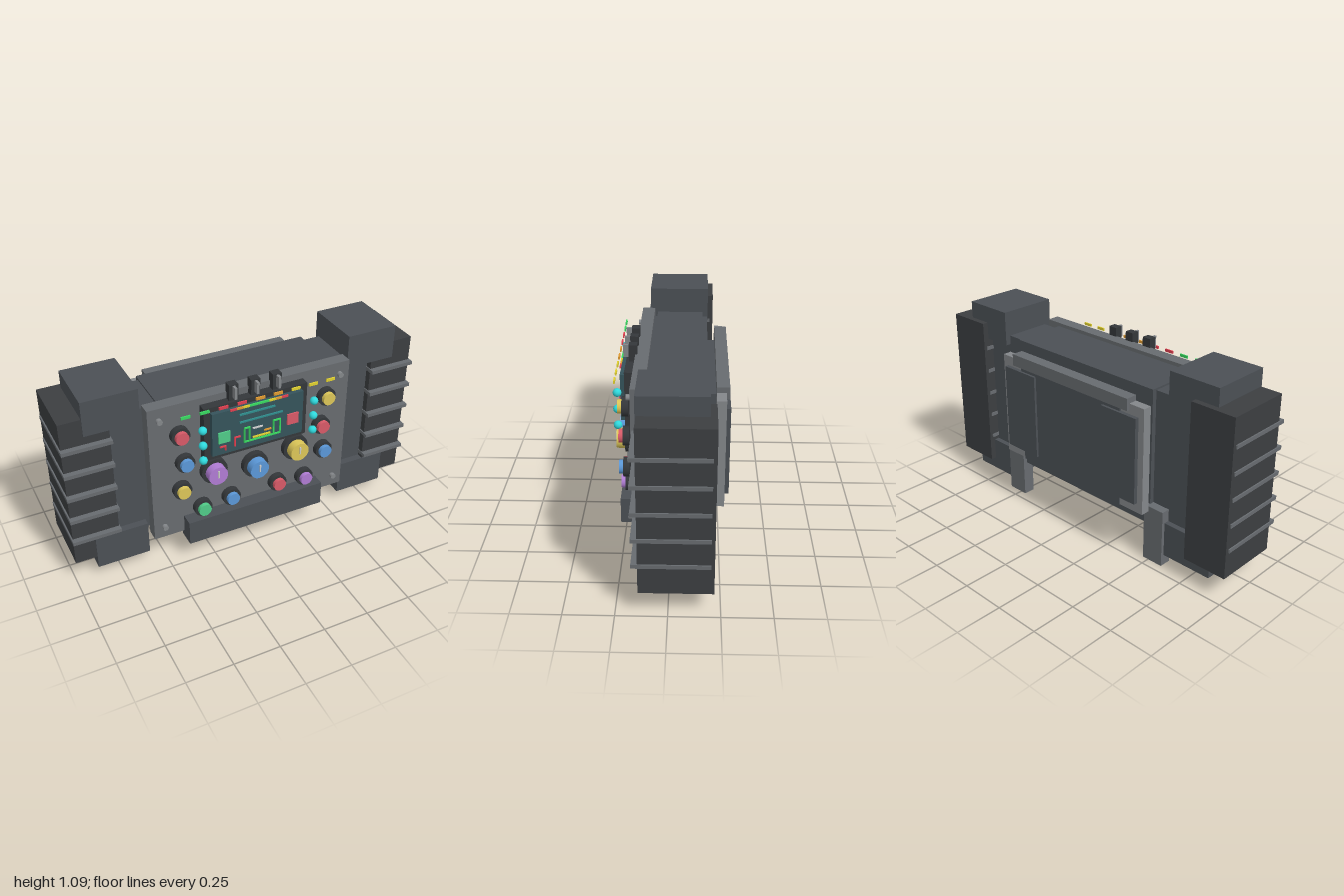
import * as THREE from 'three';

const C = {
  body: 0x4b5055, dark: 0x3c3e41, panel: 0x676b6f, light: 0x84878a, black: 0x34373a,
  screen: 0x35535b, teal: 0x2f8c8c, cyan: 0x2fd8dc, red: 0xd85a68, green: 0x50cc88,
  blue: 0x5b98d8, yellow: 0xdcc658, purple: 0xb07cd4, orange: 0xe09a30, brightRed: 0xe04050,
  brightGreen: 0x38d860, brightYellow: 0xe0d030, white: 0xd0d4d4,
};

export function createModel() {
  const root = new THREE.Group();
  const mats = {};
  const mat = (c) => (mats[c] ??= new THREE.MeshStandardMaterial({ color: C[c] }));

  const add = (name, geometry, color, parent = root) => {
    const mesh = new THREE.Mesh(geometry, mat(color));
    mesh.name = name;
    parent.add(mesh);
    return mesh;
  };
  // Box given by its limits along x, y and z
  const box = (name, color, x0, x1, y0, y1, z0, z1, parent = root) => {
    const m = add(name, new THREE.BoxGeometry(x1 - x0, y1 - y0, z1 - z0), color, parent);
    m.position.set((x0 + x1) / 2, (y0 + y1) / 2, (z0 + z1) / 2);
    return m;
  };
  const mirrored = (name, color, x0, x1, ...rest) => {
    box(name + 'Left', color, x0, x1, ...rest);
    box(name + 'Right', color, -x1, -x0, ...rest);
  };
  // Disc whose axis points along z
  const disc = (name, color, x, y, r, z0, z1, parent = root, sides = 32) => {
    const g = new THREE.CylinderGeometry(r, r, z1 - z0, sides).rotateX(Math.PI / 2);
    const m = add(name, g, color, parent);
    m.position.set(x, y, (z0 + z1) / 2);
  };
  const group = (name) => {
    const g = new THREE.Group();
    g.name = name;
    root.add(g);
    return g;
  };

  // Housing and front plate
  box('housing', 'body', -0.485, 0.485, 0.2, 0.955, -0.18, 0.13);
  box('frontPanel', 'panel', -0.57, 0.57, 0.17, 0.975, 0.12, 0.19);
  box('frontBar', 'body', -0.4, 0.4, 0.13, 0.27, 0.165, 0.263);

  // Side packs with corner blocks, fins and feet
  mirrored('sideConnector', 'body', 0.47, 0.76, 0.2, 0.945, -0.155, 0.105);
  mirrored('sidePack', 'dark', 0.745, 0.993, 0.13, 0.99, -0.217, 0.14);
  mirrored('upperCorner', 'body', 0.588, 0.877, 0.895, 1.085, -0.185, 0.145);
  mirrored('lowerCorner', 'body', 0.588, 0.877, 0.06, 0.252, -0.185, 0.145);
  for (const y of [0.283, 0.422, 0.561, 0.7, 0.839])
    mirrored('fin', 'panel', 0.74, 1, y - 0.01, y + 0.01, -0.2, 0.17);
  mirrored('foot', 'panel', 0.465, 0.588, 0, 0.32, -0.203, -0.137);

  // Rear frame with covers
  box('rearFrame', 'light', -0.51, 0.51, 0.305, 0.89, -0.27, -0.222);
  box('rearCore', 'body', -0.36, 0.36, 0.305, 0.86, -0.279, -0.17);
  box('rearRail', 'panel', -0.415, 0.415, 0.855, 0.92, -0.287, -0.222);
  mirrored('rearCover', 'body', 0.245, 0.475, 0.36, 0.835, -0.292, -0.26);

  // Display and its graphics
  const display = group('display');
  box('bezel', 'black', -0.293, 0.29, 0.625, 0.937, 0.18, 0.238, display);
  box('screen', 'screen', -0.26, 0.256, 0.658, 0.91, 0.23, 0.262, display);
  const mark = (color, x0, x1, y0, y1) =>
    box('screenMark', color, x0, x1, y0, y1, 0.262, 0.27, display);
  const meter = ['brightRed', 'orange', 'brightYellow', 'brightGreen', 'brightGreen',
    'brightGreen', 'brightYellow', 'orange', 'brightRed'];
  meter.forEach((c, i) => {
    const x = -0.162 + i * 0.036;
    mark(c, x, x + 0.036, 0.905, 0.916);
  });
  mark('teal', -0.11, 0.09, 0.865, 0.874);
  mark('teal', -0.11, 0.135, 0.82, 0.828);
  mark('green', -0.228, -0.163, 0.73, 0.794);
  mark('red', 0.163, 0.228, 0.73, 0.794);
  // Outlined rectangles
  const outline = (color, x0, x1, y0, y1, t = 0.007) => {
    mark(color, x0, x1, y0, y0 + t);
    mark(color, x0, x1, y1 - t, y1);
    mark(color, x0, x0 + t, y0 + t, y1 - t);
    mark(color, x1 - t, x1, y0 + t, y1 - t);
  };
  outline('brightGreen', -0.085, -0.05, 0.695, 0.785);
  outline('brightGreen', 0.08, 0.125, 0.695, 0.785);
  mark('brightRed', -0.22, -0.185, 0.703, 0.71);
  mark('brightRed', -0.192, -0.185, 0.68, 0.703);
  mark('brightRed', -0.14, -0.133, 0.69, 0.745);
  mark('brightRed', -0.133, -0.105, 0.738, 0.745);
  mark('brightYellow', -0.035, 0.065, 0.71, 0.718);
  mark('white', -0.035, 0.02, 0.765, 0.772);
  mark('orange', 0.03, 0.07, 0.735, 0.742);
  mark('brightGreen', -0.05, 0.08, 0.695, 0.702);

  // Lights beside the display
  const lights = group('sideLights');
  for (const s of [-1, 1])
    for (const y of [0.66, 0.75, 0.84])
      add('sideLight', new THREE.SphereGeometry(0.022, 20, 14), 'cyan', lights)
        .position.set(s * 0.315, y, 0.272);

  // Row of indicator strips
  const strips = group('indicatorStrips');
  ['brightGreen', 'brightGreen', 'brightRed', 'brightRed', 'orange', 'orange',
    'brightYellow', 'brightYellow', 'brightYellow'].forEach((c, i) => {
    const x = (i - 4) * 0.101;
    box('indicatorStrip', c, x - 0.025, x + 0.025, 0.938, 0.953, 0.271, 0.279, strips);
  });

  // Toggle switches on the top edge
  const switches = group('switches');
  for (const x of [-0.122, 0, 0.122]) {
    box('switchBase', 'black', x - 0.025, x + 0.025, 0.93, 1.025, 0.18, 0.223, switches);
    box('switchLever', 'light', x - 0.007, x + 0.007, 0.955, 1.02, 0.222, 0.252, switches);
  }

  // Knobs: dark collar and coloured cap
  const knobs = group('knobs');
  const knob = (x, y, color) => {
    disc('knobCollar', 'black', x, y, 0.05, 0.207, 0.24, knobs);
    disc('knobCap', color, x, y, 0.035, 0.235, 0.262, knobs);
  };
  for (const [x, y, left, right] of [
    [0.417, 0.813, 'yellow', 'red'], [0.395, 0.64, 'red', 'blue'],
    [0.417, 0.475, 'blue', 'yellow'], [0.305, 0.325, 'purple', 'green'],
    [0.139, 0.34, 'red', 'blue'],
  ]) {
    knob(x, y, left);
    knob(-x, y, right);
  }
  // Large dials with pointer
  for (const [x, y, color] of [[-0.238, 0.545, 'purple'], [0, 0.507, 'blue'], [0.238, 0.545, 'yellow']]) {
    disc('dialCollar', 'black', x, y, 0.073, 0.207, 0.24, knobs);
    disc('dialCap', color, x, y, 0.053, 0.235, 0.286, knobs);
    box('dialPointer', 'white', x - 0.004, x + 0.004, y - 0.01, y + 0.033, 0.283, 0.291, knobs);
  }

  // Panel screws
  for (const x of [-0.512, 0.512])
    for (const y of [0.24, 0.907]) disc('screw', 'light', x, y, 0.015, 0.188, 0.212, root, 12);

  return root;
}
